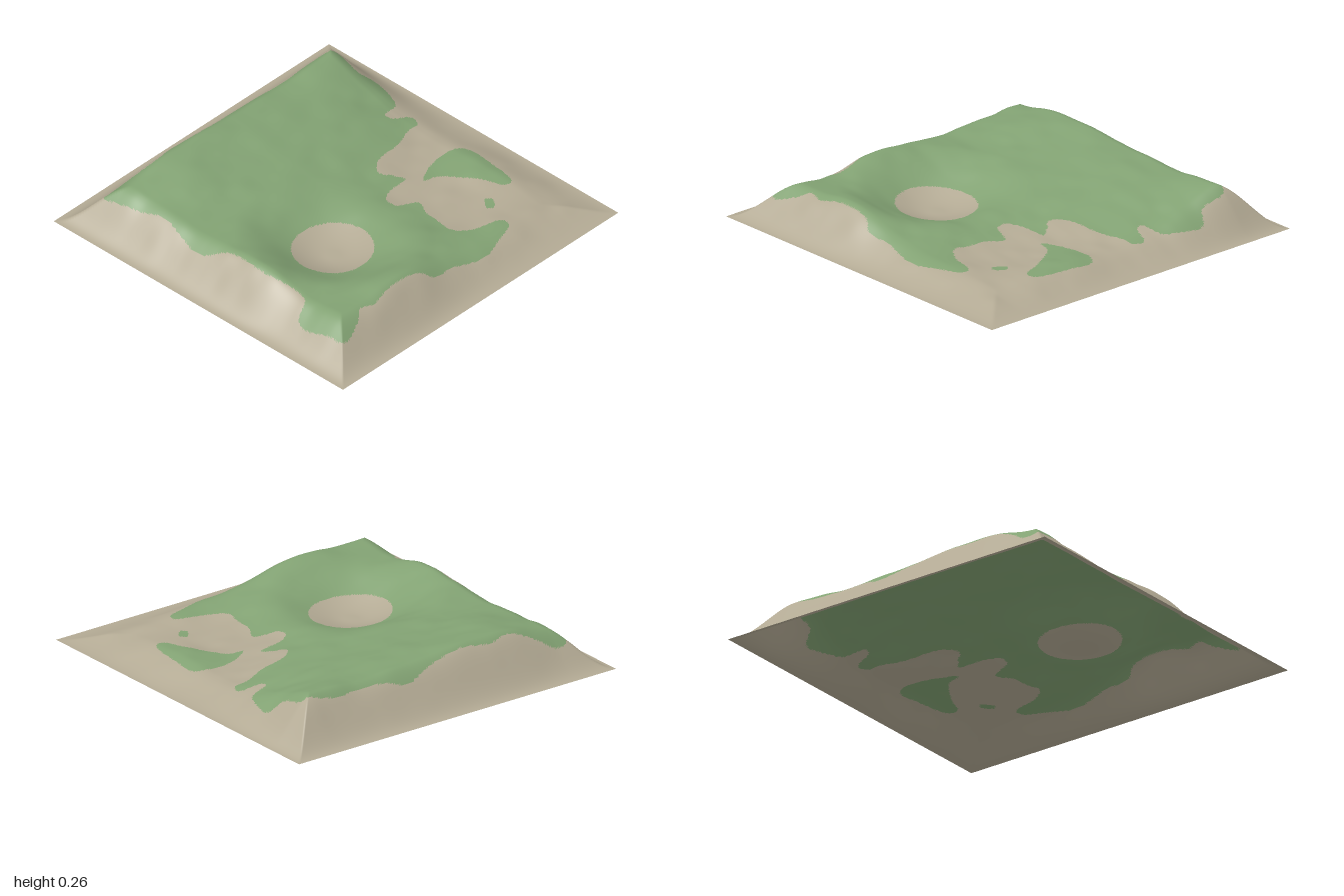
import * as THREE from 'three';

const N = 220; // grid cells per side

// Broad land heights, x and z from -0.75 to 0.75 in steps of 0.25, back row first
const LAND = [
  [0.21, 0.255, 0.255, 0.24, 0.23, 0.22, 0.24],
  [0.2, 0.225, 0.215, 0.21, 0.2, 0.185, 0.15],
  [0.19, 0.19, 0.185, 0.17, 0.155, 0.135, 0.09],
  [0.21, 0.195, 0.18, 0.15, 0.11, 0.08, 0.06],
  [0.22, 0.2, 0.18, 0.145, 0.085, 0.065, 0.085],
  [0.17, 0.18, 0.18, 0.145, 0.085, 0.07, 0.08],
  [0.185, 0.195, 0.19, 0.125, 0.095, 0.08, 0.06],
];

// Outlines of the grass as x, z pairs
const MEADOW = [
  -0.82, -0.83, -0.74, -0.84, -0.65, -0.8, -0.5, -0.76, -0.38, -0.78, -0.2, -0.76, 0, -0.78,
  0.18, -0.82, 0.3, -0.79, 0.45, -0.78, 0.6, -0.79, 0.73, -0.77, 0.79, -0.74, 0.79, -0.6,
  0.85, -0.55, 0.82, -0.4, 0.78, -0.33, 0.67, -0.3, 0.68, -0.26, 0.78, -0.22, 0.76, -0.16,
  0.68, -0.15, 0.55, -0.1, 0.38, -0.07, 0.31, 0, 0.36, 0.06, 0.39, 0.11, 0.25, 0.13,
  0.18, 0.18, 0.19, 0.24, 0.25, 0.26, 0.3, 0.29, 0.26, 0.38, 0.25, 0.48, 0.24, 0.57,
  0.32, 0.64, 0.48, 0.69, 0.48, 0.74, 0.35, 0.79, 0.22, 0.83, 0, 0.8, -0.14, 0.81,
  -0.2, 0.77, -0.4, 0.76, -0.55, 0.78, -0.62, 0.76, -0.68, 0.8, -0.83, 0.84, -0.84, 0.75,
  -0.86, 0.6, -0.84, 0.54, -0.76, 0.51, -0.74, 0.45, -0.77, 0.25, -0.76, 0, -0.82, -0.15,
  -0.8, -0.3, -0.77, -0.45, -0.8, -0.6, -0.82, -0.75,
];
const ISLAND = [0.45, 0.18, 0.55, 0.12, 0.7, 0.1, 0.79, 0.14, 0.79, 0.3, 0.75, 0.5,
  0.7, 0.5, 0.66, 0.4, 0.58, 0.27, 0.52, 0.2];
const ISLET = [0.51, 0.56, 0.56, 0.5, 0.58, 0.53, 0.54, 0.58];

const smooth = (a, b, v) => THREE.MathUtils.smoothstep(v, a, b);
const { clamp, lerp } = THREE.MathUtils;

function cubic(p, t) {
  const [a, b, c, d] = p;
  return b + 0.5 * t * (c - a + t * (2 * a - 5 * b + 4 * c - d + t * (3 * (b - c) + d - a)));
}

// Smooth interpolation of the land table
function land(x, z) {
  const u = clamp((x + 0.75) * 4, 0, 6);
  const v = clamp((z + 0.75) * 4, 0, 6);
  const i = Math.min(Math.floor(u), 5), j = Math.min(Math.floor(v), 5);
  const rows = [-1, 0, 1, 2].map((r) =>
    cubic([-1, 0, 1, 2].map((c) => LAND[clamp(j + r, 0, 6)][clamp(i + c, 0, 6)]), u - i));
  return cubic(rows, v - j);
}

// Seeded value noise from -1 to 1
function lattice(i, j) {
  const s = Math.sin(i * 127.1 + j * 311.7) * 43758.5453;
  return 2 * (s - Math.floor(s)) - 1;
}
function noise(u, v) {
  const i = Math.floor(u), j = Math.floor(v);
  const s = smooth(0, 1, u - i), t = smooth(0, 1, v - j);
  return lerp(lerp(lattice(i, j), lattice(i + 1, j), s),
    lerp(lattice(i, j + 1), lattice(i + 1, j + 1), s), t);
}

// Small rolling bumps, longer across than deep
const bumps = (x, z) => 0.006 * noise(x * 5, z * 7) + 0.004 * noise(x * 9 + 40, z * 12 + 40);

function height(x, z) {
  // round basin, free of bumps towards its middle
  const r = Math.hypot(x + 0.275, z - 0.24);
  const h = lerp(0.042, land(x, z) + bumps(x, z), smooth(0.04, 0.5, r));
  // banks falling to the four edges
  return h * smooth(0, 0.28, 1 - Math.max(Math.abs(x), Math.abs(z)));
}

// Rounded closed outline from a few points
function outline(flat) {
  const pts = [];
  for (let i = 0; i < flat.length; i += 2) pts.push(new THREE.Vector3(flat[i], 0, flat[i + 1]));
  return new THREE.CatmullRomCurve3(pts, true).getPoints(pts.length * 4);
}

function inside(x, z, poly) {
  let hit = false;
  for (let i = 0, j = poly.length - 1; i < poly.length; j = i++) {
    const a = poly[i], b = poly[j];
    if ((a.z > z) !== (b.z > z) && x < ((b.x - a.x) * (z - a.z)) / (b.z - a.z) + a.x) hit = !hit;
  }
  return hit;
}

export function createModel() {
  const group = new THREE.Group();
  group.name = 'terrain';
  const grass = new THREE.MeshStandardMaterial({ color: 0x82a273, side: THREE.DoubleSide });
  grass.name = 'grass green';
  const earth = new THREE.MeshStandardMaterial({ color: 0xb3aa94, side: THREE.DoubleSide });
  earth.name = 'earth tan';

  // Height field
  const geo = new THREE.PlaneGeometry(2, 2, N, N).rotateX(-Math.PI / 2);
  const pos = geo.attributes.position;
  for (let i = 0; i < pos.count; i++) pos.setY(i, height(pos.getX(i), pos.getZ(i)));
  geo.computeVertexNormals();

  // Sort the triangles into grass and bare earth
  const patches = [MEADOW, ISLAND, ISLET].map(outline);
  const isGrass = (x, z) =>
    Math.hypot((x + 0.273) / 0.217, (z - 0.237) / 0.202) > 1 && patches.some((p) => inside(x, z, p));
  const green = [], bare = [];
  const idx = geo.index.array;
  for (let i = 0; i < idx.length; i += 3) {
    const t = [idx[i], idx[i + 1], idx[i + 2]];
    const x = t.reduce((s, k) => s + pos.getX(k), 0) / 3;
    const z = t.reduce((s, k) => s + pos.getZ(k), 0) / 3;
    (isGrass(x, z) ? green : bare).push(...t);
  }

  // Both surfaces share vertices so the shading runs on across the border
  for (const [name, index, material] of [['grassland', green, grass], ['bareEarth', bare, earth]]) {
    const part = new THREE.BufferGeometry();
    part.setAttribute('position', pos);
    part.setAttribute('normal', geo.attributes.normal);
    part.setIndex(index);
    const mesh = new THREE.Mesh(part, material);
    mesh.name = name;
    group.add(mesh);
  }
  return group;
}
